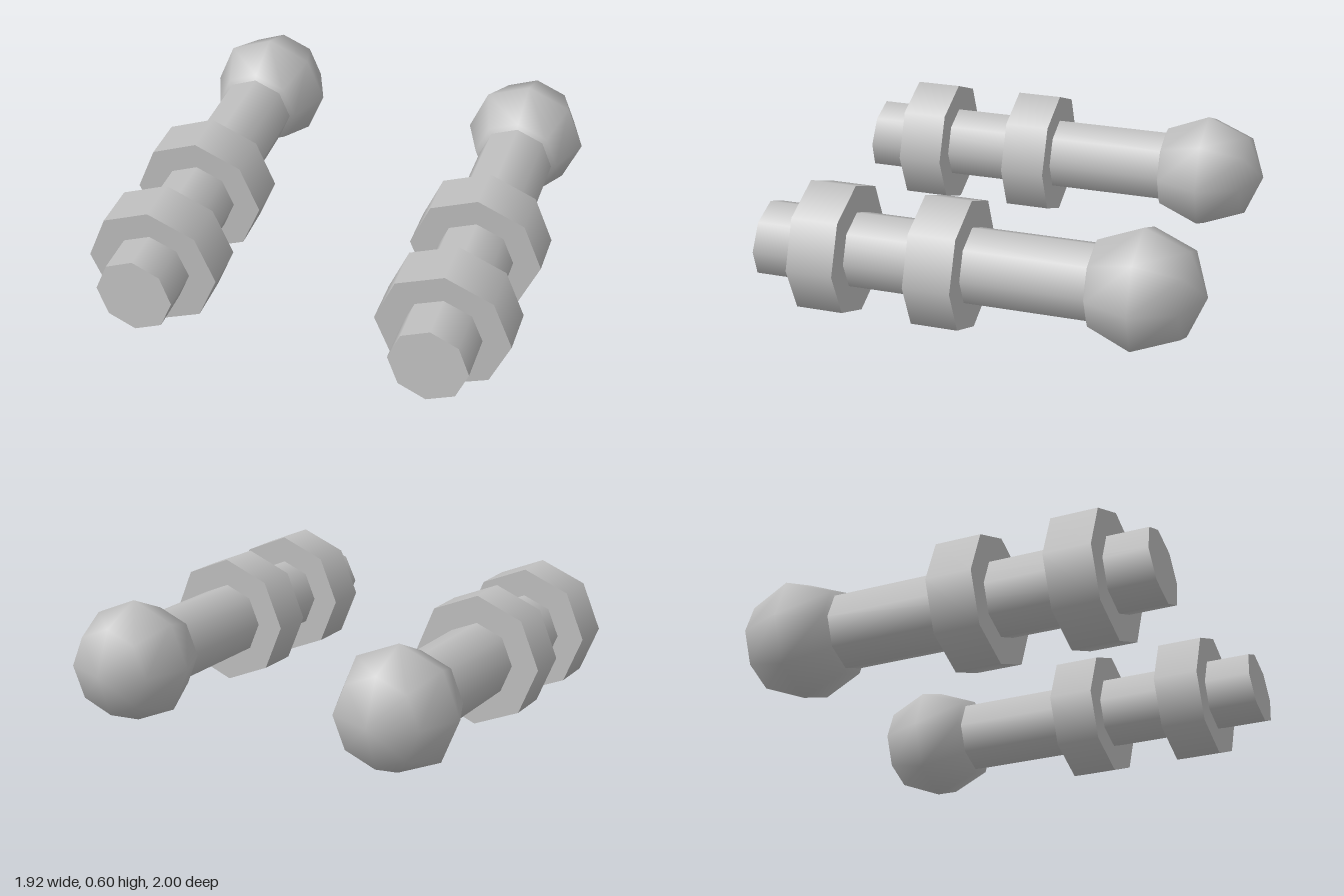
import * as THREE from 'three';

const SIDES = 8, TUBE_R = 0.175, RING_R = 0.3, BALL_R = 0.28;
const AXIS_X = 0.662, SLOPE = 0.085;

// Octagonal cylinder lying along z, from z0 to z1
function rod(radius, z0, z1) {
  const g = new THREE.CylinderGeometry(radius, radius, z1 - z0, SIDES);
  return g.rotateX(Math.PI / 2).translate(0, 0, (z0 + z1) / 2);
}

// Main tube, its front end cut at a slight slant
function slantedTube(z0, z1) {
  const g = rod(TUBE_R, z0, z1);
  const p = g.attributes.position, n = g.attributes.normal;
  const cut = new THREE.Vector3(0, SLOPE, 1).normalize();
  for (let i = 0; i < p.count; i++) {
    if (p.getZ(i) < z1 - 0.01) continue;
    p.setZ(i, z1 - SLOPE * (p.getY(i) + TUBE_R));
    if (n.getZ(i) > 0.9) n.setXYZ(i, cut.x, cut.y, cut.z);
  }
  return g;
}

export function createModel() {
  const model = new THREE.Group();
  model.name = 'barrelPair';
  const grey = new THREE.MeshStandardMaterial({ color: 0xc0c0c0 });
  grey.name = 'grey';

  for (const [side, x, front] of [['left', AXIS_X, 1], ['right', -AXIS_X, 0.982]]) {
    const barrel = new THREE.Group();
    barrel.name = side + 'Barrel';
    barrel.position.set(x, RING_R, 0);
    const add = (name, geometry) => {
      const mesh = new THREE.Mesh(geometry, grey);
      mesh.name = name;
      barrel.add(mesh);
    };

    add('tube', slantedTube(-0.52, front));
    // Collars around the tube
    add('frontRing', rod(RING_R, 0.558, 0.769));
    add('middleRing', rod(RING_R, 0.028, 0.238));
    // Rounded rear end with its pole on the axis
    add('rearBall', new THREE.SphereGeometry(BALL_R, SIDES, 4).rotateX(Math.PI / 2).translate(0, 0, -0.72));
    model.add(barrel);
  }
  return model;
}
